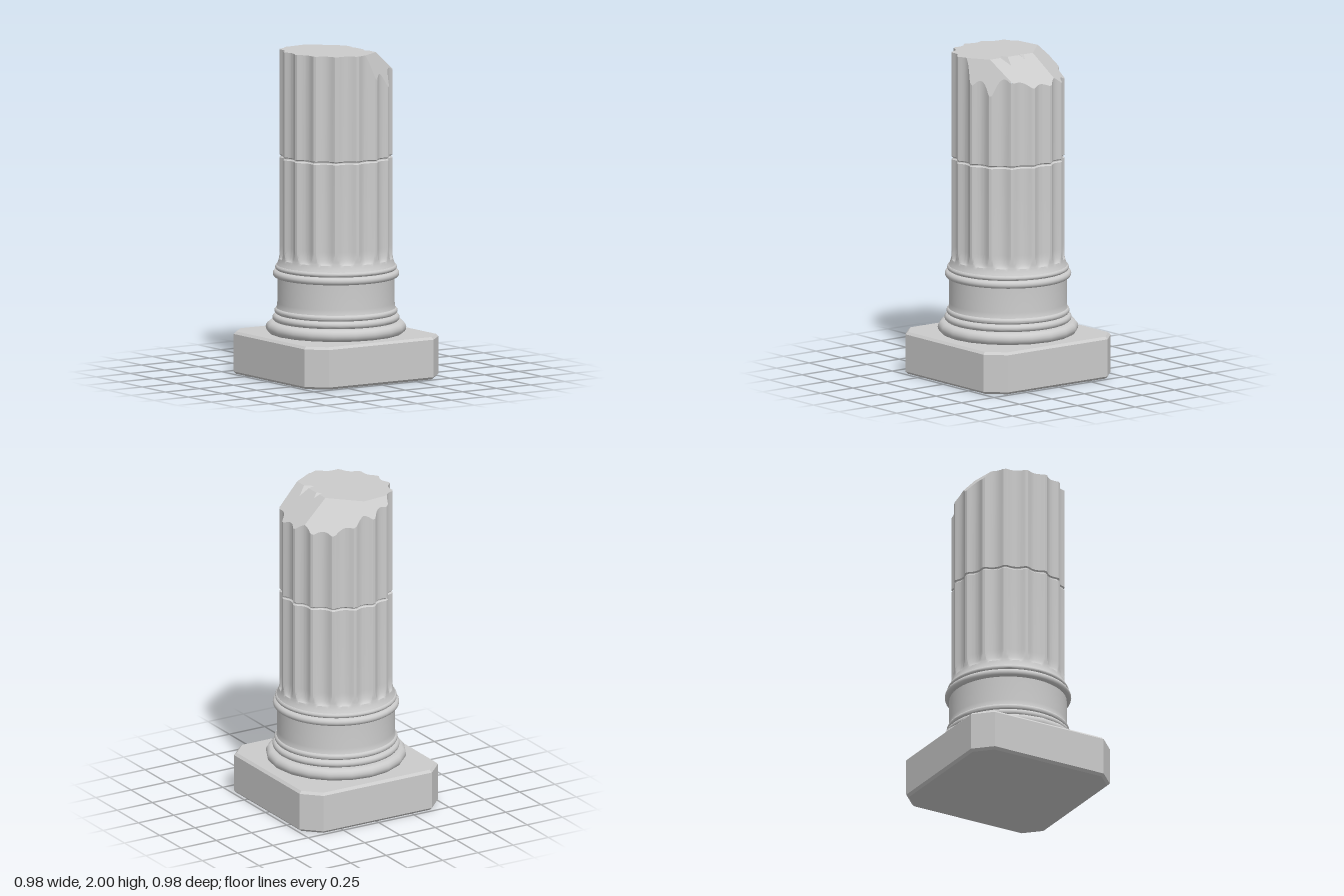
import * as THREE from 'three';
import { toCreasedNormals } from 'three/addons/utils/BufferGeometryUtils.js';

const material = new THREE.MeshStandardMaterial({ color: 0xcccccc });
const FLUTES = 16, STEPS = 16, N = FLUTES * STEPS;

// Break surfaces: height = 2 - (a*x + b*z - c); the lowest one wins
const breaks = [
  [0, 0, 0],             // level top
  [0.8, 0, 0.104],       // right slope
  [0.67, -0.67, 0.147],  // back right slope
  [1.56, 2.55, 0.816],   // front right chip
  [-0.12, -1.2, 0.318],  // back chip
];
const heightOf = ([a, b, c], p) => 2 - (a * p.x + b * p.z - c);
const breakHeight = (p) => Math.min(...breaks.map((k) => heightOf(k, p)));

// Fluted radius at column i; flutes end in rounded scoops near the bottom
function shaftPoint(i, y, inset = 0) {
  const u = (((i + STEPS / 2) % STEPS) / STEPS) - 0.5;
  const t = Math.min(Math.max((y - 0.72) / 0.08, 0), 1);
  const scoop = Math.sqrt(1 - (1 - t) ** 2);
  const w = 0.42 * (0.55 + 0.45 * scoop);
  const depth = Math.abs(u) < w ? 0.024 * scoop * (1 - (u / w) ** 2) : 0;
  const flare = 0.016 * Math.max(0, (0.74 - y) / 0.06) ** 2;
  const r = 0.344 + flare - depth - inset;
  const a = (i / N) * Math.PI * 2;
  return new THREE.Vector3(r * Math.cos(a), y, -r * Math.sin(a));
}

// Wall from levels [y, inset]; y = null means the broken rim
function drum(levels) {
  const pos = [], index = [];
  levels.forEach(([y, inset], j) => {
    for (let i = 0; i < N; i++) {
      const p = shaftPoint(i, y ?? 1.9, inset);
      if (y === null) p.y = breakHeight(p);
      pos.push(p.x, p.y, p.z);
      if (!j) continue;
      const k = (i + 1) % N, lo = (j - 1) * N, hi = j * N;
      index.push(lo + i, lo + k, hi + k, lo + i, hi + k, hi + i);
    }
  });
  const g = new THREE.BufferGeometry();
  g.setAttribute('position', new THREE.Float32BufferAttribute(pos, 3));
  g.setIndex(index);
  return toCreasedNormals(g, 0.45);
}

// Keep the part of a polygon where f <= 0
function clip(poly, f) {
  const out = [];
  poly.forEach((p, i) => {
    const q = poly[(i + 1) % poly.length], a = f(p), b = f(q);
    if (a <= 0) out.push(p);
    if ((a < 0 && b > 0) || (a > 0 && b < 0)) out.push(p.clone().lerp(q, a / (a - b)));
  });
  return out;
}

// Small V notches on the ridge x = 0.13: inner tip, back side, outer tip, front side
const notches = [
  [[0.08, 0.12], [0.13, 0.105], [0.185, 0.12], [0.13, 0.16]],
  [[0.1, -0.005], [0.13, -0.02], [0.16, -0.005], [0.13, 0.015]],
].map((n) => n.map(([x, z]) => new THREE.Vector3(x, breakHeight({ x, z }), z)));

// Broken top: one facet per break surface
function brokenTop() {
  const pos = [];
  const add = (...pts) => pts.forEach((p) => pos.push(p.x, p.y, p.z));
  const outline = Array.from({ length: N }, (_, i) => shaftPoint(i, 1.9));
  breaks.forEach((k, n) => {
    let poly = outline;
    breaks.forEach((o) => {
      if (o !== k) poly = clip(poly, (p) => heightOf(k, p) - heightOf(o, p));
    });
    if (poly.length < 3) return;
    if (n < 2) {
      // Cut the notch corners into the shared ridge edge
      const onRidge = (p) => Math.abs(p.x - 0.13) < 1e-5;
      const at = poly.findIndex((p, i) => {
        const q = poly[(i + 1) % poly.length];
        return onRidge(p) && onRidge(q) && Math.abs(p.z - q.z) > 0.1;
      });
      if (at >= 0) {
        const down = poly[at].z > poly[(at + 1) % poly.length].z;
        const cuts = notches.flatMap((c) => [c[3], c[n ? 2 : 0], c[1]]);
        poly.splice(at + 1, 0, ...(down ? cuts : cuts.reverse()));
      }
    }
    const pts = poly.map((p) => new THREE.Vector3(p.x, heightOf(k, p), p.z));
    const flat = pts.map((p) => new THREE.Vector2(p.x, -p.z));
    THREE.ShapeUtils.triangulateShape(flat, []).forEach(([a, b, c]) => add(pts[a], pts[b], pts[c]));
  });
  notches.forEach(([a, b, c, d]) => add(a, c, b, a, d, c));
  const g = new THREE.BufferGeometry();
  g.setAttribute('position', new THREE.Float32BufferAttribute(pos, 3));
  g.computeVertexNormals();
  return g;
}

// Rounded moulding ring between two heights
function ring(r, y0, y1, segments = 48) {
  const h = (y1 - y0) / 2, pts = [[0.3, y0]];
  for (let i = 0; i <= 8; i++) {
    const a = -Math.PI / 2 + (i / 8) * Math.PI;
    pts.push([r - h + h * Math.cos(a), y0 + h + h * Math.sin(a)]);
  }
  return lathe([...pts, [0.3, y1]], segments);
}
function lathe(pts, segments = 48) {
  const g = new THREE.LatheGeometry(pts.map(([x, y]) => new THREE.Vector2(x, y)), segments);
  return toCreasedNormals(g, 0.6);
}

// Square block with cut corners and bevelled edges
function plinthGeometry() {
  const s = 0.475, c = 0.378, shape = new THREE.Shape();
  [[s, -c], [s, c], [c, s], [-c, s], [-s, c], [-s, -c], [-c, -s], [c, -s]].forEach(([x, y], i) =>
    i ? shape.lineTo(x, y) : shape.moveTo(x, y));
  const g = new THREE.ExtrudeGeometry(shape, {
    depth: 0.23, bevelThickness: 0.015, bevelSize: 0.015, bevelSegments: 1,
  });
  return g.rotateX(-Math.PI / 2).translate(0, 0.015, 0);
}

export function createModel() {
  const group = new THREE.Group();
  const add = (name, geometry) => {
    const mesh = new THREE.Mesh(geometry, material);
    mesh.name = name;
    group.add(mesh);
  };

  add('plinth', plinthGeometry());

  // Base mouldings
  add('largeBaseRing', ring(0.427, 0.26, 0.335, 20));
  add('middleBaseRing', ring(0.386, 0.335, 0.38));
  add('smallBaseRing', ring(0.374, 0.38, 0.418));
  add('baseDrum', lathe([[0.364, 0.41], [0.359, 0.425], [0.357, 0.45], [0.357, 0.61]]));
  add('lowerCollar', ring(0.384, 0.603, 0.65));
  add('upperCollar', ring(0.37, 0.65, 0.682));

  // Fluted shaft
  const scoopLevels = [0.675, 0.69, 0.705, 0.72, 0.722, 0.726, 0.732, 0.74, 0.75, 0.765, 0.78, 0.8];
  add('lowerShaft', drum([...scoopLevels.map((y) => [y, 0]), [1.337, 0], [1.344, 0.009], [1.347, 0.009]]));
  add('upperShaft', drum([[1.346, 0.009], [1.349, 0.009], [1.356, 0], [null, 0]]));
  add('brokenTop', brokenTop());
  return group;
}
